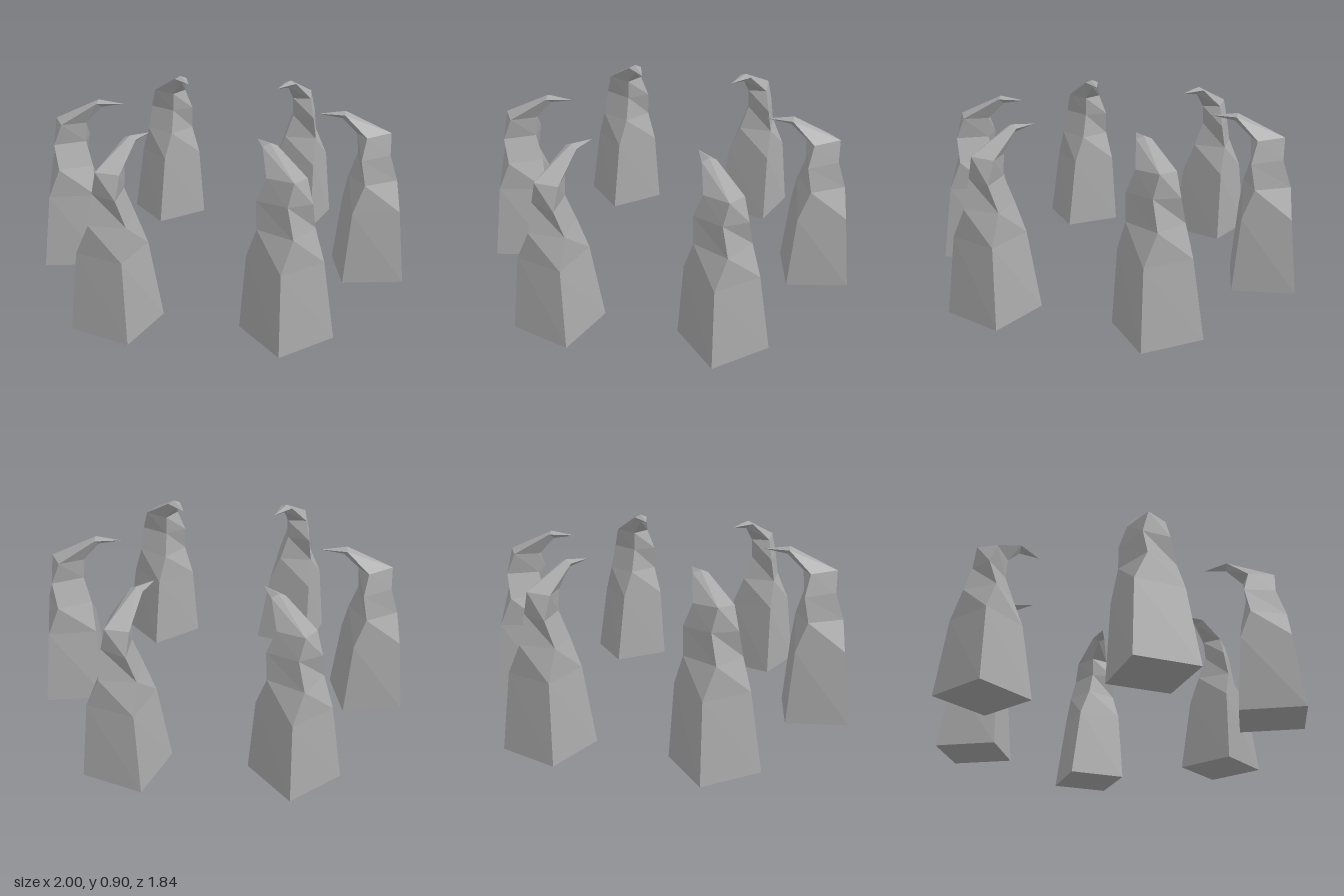
import * as THREE from 'three';

// Cross-sections of one pillar, bottom to top; corners: inner back, outer back, outer front, inner front
const rings = [
  [[0.62, 0, -0.155], [0.935, 0, -0.22], [1.0, 0, 0.09], [0.685, 0, 0.155]],
  [[0.66, 0.39, -0.105], [0.902, 0.39, -0.17], [0.957, 0.39, 0.072], [0.715, 0.39, 0.136]],
  [[0.685, 0.54, -0.05], [0.843, 0.54, -0.148], [0.934, 0.54, 0.005], [0.77, 0.54, 0.11]],
  [[0.725, 0.67, -0.025], [0.872, 0.67, -0.116], [0.89, 0.68, 0.017], [0.745, 0.67, 0.105]],
  [[0.717, 0.775, -0.025], [0.828, 0.78, -0.106], [0.888, 0.79, -0.012], [0.765, 0.78, 0.066]],
  // narrow diamond where the hook bends over
  [[0.635, 0.86, 0], [0.65, 0.885, -0.036], [0.65, 0.9, 0], [0.65, 0.885, 0.036]],
];
const tip = [0.515, 0.88, 0.005];

function pillarGeometry() {
  const pos = [];
  const tri = (a, b, c) => pos.push(...a, ...b, ...c);
  // base cap
  const [a, b, c, d] = rings[0];
  tri(a, b, c);
  tri(a, c, d);
  // faceted walls between neighbouring sections
  for (let r = 0; r < rings.length - 1; r++) {
    const lo = rings[r], hi = rings[r + 1];
    for (let i = 0; i < 4; i++) {
      const j = (i + 1) % 4;
      tri(lo[i], hi[i], hi[j]);
      tri(lo[i], hi[j], lo[j]);
    }
  }
  // pointed end of the hook
  const last = rings[rings.length - 1];
  for (let i = 0; i < 4; i++) tri(last[i], tip, last[(i + 1) % 4]);

  const geo = new THREE.BufferGeometry();
  geo.setAttribute('position', new THREE.Float32BufferAttribute(pos, 3));
  geo.computeVertexNormals();
  return geo;
}

export function createModel() {
  const model = new THREE.Group();
  model.name = 'hookedPillarCircle';
  const stone = new THREE.MeshStandardMaterial({ color: 0xa8a8a8 });
  stone.name = 'grey stone';
  const geo = pillarGeometry();
  // six identical pillars leaning in towards the centre
  for (let i = 0; i < 6; i++) {
    const pillar = new THREE.Mesh(geo, stone);
    pillar.name = `hookedPillar${i + 1}`;
    pillar.rotation.y = -i * Math.PI / 3;
    model.add(pillar);
  }
  return model;
}
